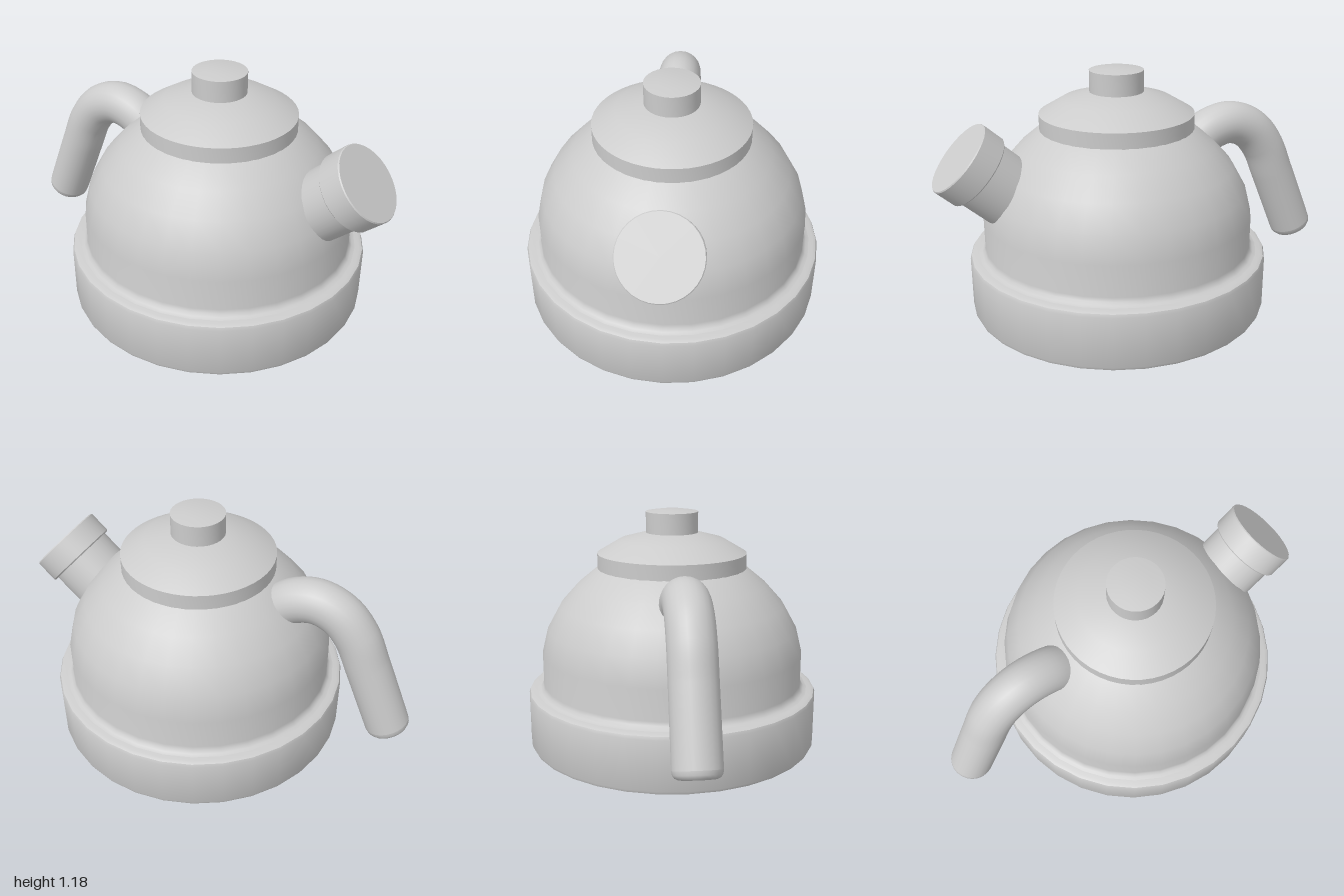
import * as THREE from 'three';
import { toCreasedNormals } from 'three/addons/utils/BufferGeometryUtils.js';

const material = new THREE.MeshStandardMaterial({ color: 0xcccccc });

// Revolve a [radius, height] profile listed from bottom to top.
function turned(name, profile, sides, crease = 0.6) {
  const points = profile.map(([r, y]) => new THREE.Vector2(r, y));
  const geometry = toCreasedNormals(new THREE.LatheGeometry(points, sides), crease);
  const mesh = new THREE.Mesh(geometry, material);
  mesh.name = name;
  return mesh;
}

export function createModel() {
  const kettle = new THREE.Group();
  kettle.name = 'kettle';

  // Base, body and lid share one vertical axis, set off centre by the handle.
  const vessel = new THREE.Group();
  vessel.name = 'vessel';
  vessel.position.x = 0.107;
  vessel.add(
    turned('base', [
      [0, 0], [0.712, 0], [0.724, 0.006], [0.73, 0.02], [0.73, 0.262],
      [0.724, 0.277], [0.708, 0.285], [0.6, 0.285],
    ], 32),
    turned('body', [
      [0.69, 0.284], [0.672, 0.29], [0.66, 0.302], [0.655, 0.32], [0.655, 0.47],
      [0.624, 0.595], [0.56, 0.71], [0.47, 0.81], [0.37, 0.892], [0.3, 0.93],
    ], 32),
    turned('lid', [
      [0, 0.89], [0.37, 0.89], [0.37, 0.965], [0.26, 1.03], [0.13, 1.065], [0, 1.07],
    ], 48, 0.9),
    turned('lidKnob', [
      [0.129, 1.05], [0.129, 1.167], [0.07, 1.176], [0, 1.178],
    ], 32),
  );
  kettle.add(vessel);

  // Spout points up and outward; its origin is the middle of the mouth.
  const spout = new THREE.Group();
  spout.name = 'spout';
  spout.position.set(0.87, 0.828, 0);
  spout.rotation.z = -0.843;
  spout.add(
    turned('spoutNeck', [[0.165, -0.5], [0.165, -0.1]], 32),
    turned('spoutCap', [
      [0, -0.12], [0.18, -0.12], [0.186, -0.114], [0.186, -0.005], [0.182, 0], [0, 0],
    ], 32),
  );
  kettle.add(spout);

  // Handle arches out of the body and hangs down to a free, rounded end.
  const handle = new THREE.Group();
  handle.name = 'handle';
  const path = new THREE.CatmullRomCurve3([
    [-0.893, 0.25], [-0.83, 0.4], [-0.76, 0.565], [-0.695, 0.71], [-0.61, 0.807],
    [-0.5, 0.848], [-0.39, 0.825], [-0.3, 0.76], [-0.2, 0.68],
  ].map(([x, y]) => new THREE.Vector3(x, y, 0)));
  const grip = new THREE.Mesh(new THREE.TubeGeometry(path, 48, 0.107, 24), material);
  grip.name = 'handleGrip';

  const end = turned('handleEnd', [
    [0.107, 0], [0.104, 0.018], [0.095, 0.031], [0.08, 0.038], [0, 0.042],
  ], 24);
  end.position.copy(path.getPoint(0));
  end.quaternion.setFromUnitVectors(new THREE.Vector3(0, 1, 0), path.getTangent(0).negate());
  handle.add(grip, end);
  kettle.add(handle);

  return kettle;
}
